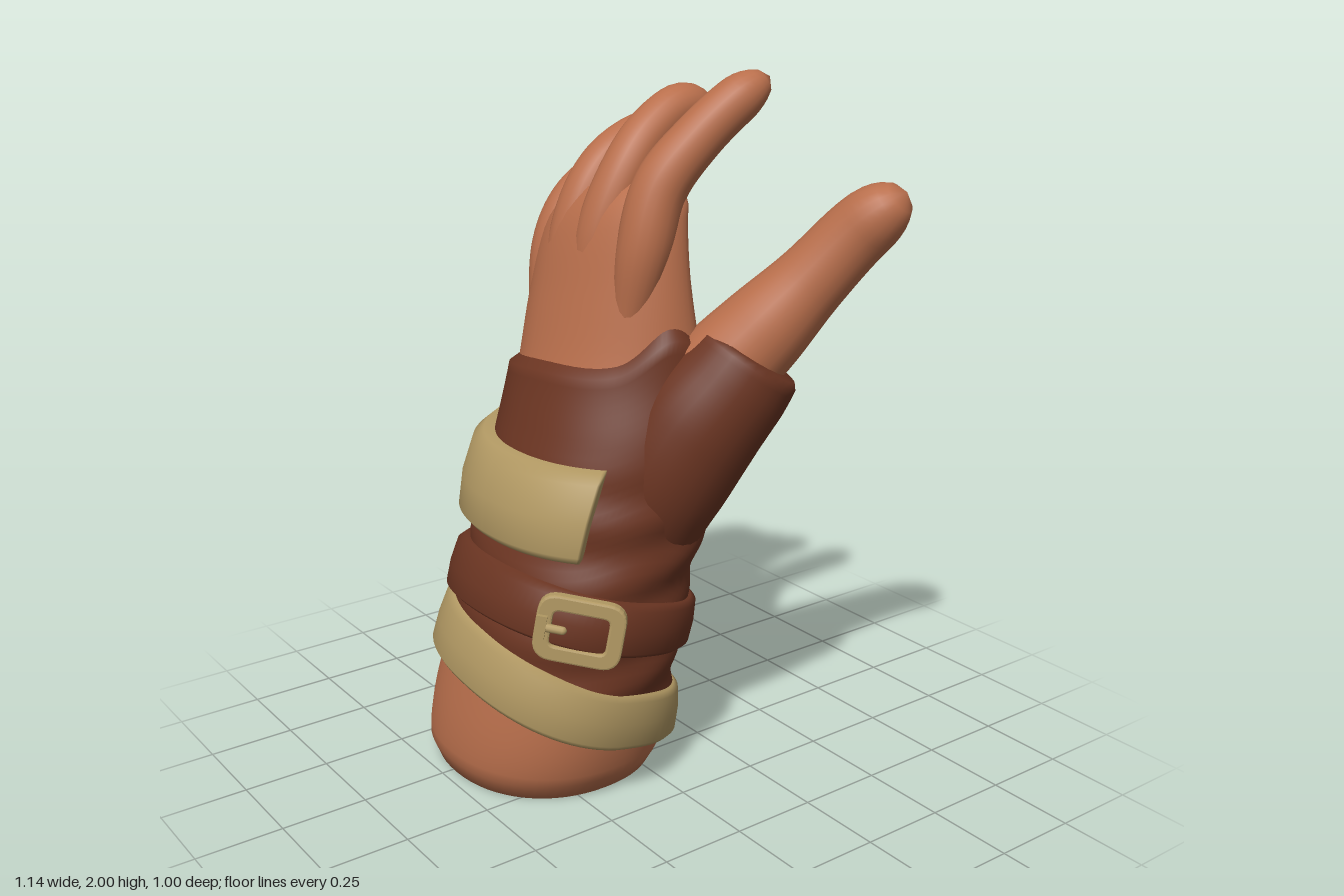
import * as THREE from 'three';
import { mergeVertices } from 'three/addons/utils/BufferGeometryUtils.js';

const PI = Math.PI, { smoothstep, clamp } = THREE.MathUtils;
const mat = (name, color) => {
  const m = new THREE.MeshStandardMaterial({ color });
  m.name = name;
  return m;
};

// Smooth interpolation of rows [key, value, value, ...]
function sample(rows, k) {
  const n = rows.length - 1;
  k = clamp(k, rows[0][0], rows[n][0]);
  let i = 0;
  while (i < n - 1 && k > rows[i + 1][0]) i++;
  const a = rows[i], b = rows[i + 1], p = rows[Math.max(i - 1, 0)], q = rows[Math.min(i + 2, n)];
  const h = b[0] - a[0], t = (k - a[0]) / h;
  return a.slice(1).map((va, j) => {
    const vb = b[j + 1];
    const ma = (vb - p[j + 1]) / (b[0] - p[0]) * h, mb = (q[j + 1] - va) / (q[0] - a[0]) * h;
    const t2 = t * t, t3 = t2 * t;
    return va * (2 * t3 - 3 * t2 + 1) + ma * (t3 - 2 * t2 + t) + vb * (3 * t2 - 2 * t3) + mb * (t3 - t2);
  });
}

// Forearm and hand sections: y, xMin, xMax, zMin, zMax
const SECTIONS = [
  [0, -0.55, 0.09, -0.14, 0.46], [0.04, -0.57, 0.125, -0.155, 0.485], [0.15, -0.56, 0.16, -0.145, 0.485],
  [0.3, -0.53, 0.18, -0.135, 0.46], [0.55, -0.46, 0.205, -0.15, 0.4], [0.75, -0.455, 0.215, -0.2, 0.34],
  [0.9, -0.46, 0.225, -0.265, 0.315], [1.05, -0.48, 0.23, -0.255, 0.265], [1.2, -0.485, 0.195, -0.185, 0.215],
  [1.4, -0.485, 0.165, -0.12, 0.165], [1.55, -0.48, 0.15, -0.095, 0.125], [1.71, -0.465, 0.135, -0.1, 0.06],
];
const TOP = 1.71;

// Point on the arm at an angle (0 front, PI/2 thumb side), pushed out by off
function surf(th, y, off = 0, scale = 1) {
  const [x0, x1, z0, z1] = sample(SECTIONS, y);
  const s = Math.sin(th), c = Math.cos(th), pw = v => Math.sign(v) * Math.abs(v) ** 0.92;
  const x = (x0 + x1) / 2 + ((x1 - x0) / 2 + off) * pw(s) * scale;
  const cup = (s < 0 ? 0.14 : 0.07) * s * s * scale * scale * smoothstep(y, 0.6, 1.25);
  const hollow = c < 0 ? 0.05 * c ** 4 * scale * smoothstep(y, 0.7, 1) : 0;
  const z = (z0 + z1) / 2 + ((z1 - z0) / 2 + off) * pw(c) * scale - cup + hollow;
  return [x, y + 0.25 * (x + 0.17) * smoothstep(y, 1.2, 1.6), z];
}

function smooth(geo) {
  geo.deleteAttribute('normal');
  geo.deleteAttribute('uv');
  const g = mergeVertices(geo, 1e-4);
  g.computeVertexNormals();
  return g;
}

// Grid surface from f(u, v, i, j) -> [x, y, z]
function grid(nu, nv, f) {
  const pos = [], idx = [];
  for (let j = 0; j <= nv; j++) for (let i = 0; i <= nu; i++) pos.push(...f(i / nu, j / nv, i, j));
  for (let j = 0; j < nv; j++) for (let i = 0; i < nu; i++) {
    const a = j * (nu + 1) + i, b = a + nu + 1;
    idx.push(a, a + 1, b + 1, a, b + 1, b);
  }
  const g = new THREE.BufferGeometry();
  g.setAttribute('position', new THREE.Float32BufferAttribute(pos, 3));
  g.setIndex(idx);
  return smooth(g);
}

// Raised strap along the arm between two angles, rounded at its edges
const EDGE = [[0, -0.03], [0, 0.7], [0.1, 1], [0.5, 1.08], [0.9, 1], [1, 0.7], [1, -0.03]];
function strap(t0, t1, centre, half, off, open) {
  const n = 96;
  return grid(n, EDGE.length - 1, (u, v, i, j) => {
    const th = t0 + (t1 - t0) * u, [e, o] = EDGE[j];
    const end = open && (i === 0 || i === n);
    return surf(th, centre(th) + (e * 2 - 1) * half(th), end ? -0.01 : o < 0 ? o : o * off(th));
  });
}

// Limb along [x, y, z, radius] points, with a round end of the given share
function limb(pts, round = 0.14, sides = 20, n = 40) {
  const curve = new THREE.CatmullRomCurve3(pts.map(p => new THREE.Vector3(p[0], p[1], p[2])));
  const geo = new THREE.TubeGeometry(curve, n, 1, sides);
  const pos = geo.attributes.position, v = new THREE.Vector3();
  const radii = pts.map((p, i) => [i, p[3]]);
  for (let i = 0; i <= n; i++) {
    const u = i / n, c = curve.getPointAt(u);
    const cap = Math.max(0, (u - 1 + round) / round);
    const r = sample(radii, curve.getUtoTmapping(u) * (pts.length - 1))[0] * Math.sqrt(Math.max(0, 1 - cap * cap));
    for (let k = 0; k <= sides; k++) {
      const id = i * (sides + 1) + k;
      v.fromBufferAttribute(pos, id).sub(c).multiplyScalar(r).add(c);
      pos.setXYZ(id, v.x, v.y, v.z);
    }
  }
  return smooth(geo);
}

function roundRect(target, w, h, r) {
  const x = w / 2, y = h / 2;
  target.moveTo(-x + r, -y);
  target.lineTo(x - r, -y); target.quadraticCurveTo(x, -y, x, -y + r);
  target.lineTo(x, y - r); target.quadraticCurveTo(x, y, x - r, y);
  target.lineTo(-x + r, y); target.quadraticCurveTo(-x, y, -x, y - r);
  target.lineTo(-x, -y + r); target.quadraticCurveTo(-x, -y, -x + r, -y);
  return target;
}

// Glove rim height around the arm, and the height of the spiral wrap
const RIM = [
  [-PI, 0.8], [-0.82 * PI, 0.88], [-0.66 * PI, 1.07], [-0.5 * PI, 1.12], [-0.25 * PI, 1.19], [0, 1.235],
  [0.25 * PI, 1.25], [0.42 * PI, 1.33], [0.56 * PI, 1.28], [0.75 * PI, 1.02], [PI, 0.8],
];
const WRAP = [
  [-1.05 * PI, 0.33], [-PI, 0.35], [-0.75 * PI, 0.4], [-0.5 * PI, 0.43], [0, 0.425], [0.5 * PI, 0.26],
  [0.75 * PI, 0.185], [PI, 0.15], [1.4 * PI, 0.18],
];
const wrapHeight = th => sample(WRAP, th)[0];

const FINGERS = {
  indexFinger: [[0.06, 1.36, 0.05, 0.05], [0.085, 1.55, 0.02, 0.074], [0.095, 1.71, -0.025, 0.074],
    [0.13, 1.83, -0.115, 0.068], [0.17, 1.93, -0.22, 0.063], [0.2, 1.985, -0.3, 0.056]],
  middleFinger: [[-0.08, 1.36, 0.09, 0.05], [-0.065, 1.58, 0.05, 0.068], [-0.05, 1.74, -0.02, 0.068],
    [-0.05, 1.835, -0.1, 0.065], [-0.05, 1.895, -0.21, 0.061], [-0.05, 1.85, -0.315, 0.056]],
  thirdFinger: [[-0.19, 1.33, 0.1, 0.05], [-0.195, 1.54, 0.055, 0.068], [-0.19, 1.69, -0.01, 0.068],
    [-0.185, 1.775, -0.1, 0.065], [-0.18, 1.81, -0.22, 0.061], [-0.18, 1.735, -0.34, 0.056]],
  fourthFinger: [[-0.3, 1.28, 0.08, 0.05], [-0.315, 1.5, 0.035, 0.066], [-0.315, 1.62, -0.03, 0.066],
    [-0.31, 1.69, -0.13, 0.063], [-0.3, 1.705, -0.25, 0.06], [-0.3, 1.625, -0.375, 0.056]],
  littleFinger: [[-0.41, 1.22, 0.0, 0.05], [-0.425, 1.44, -0.035, 0.062], [-0.43, 1.55, -0.085, 0.063],
    [-0.435, 1.61, -0.18, 0.061], [-0.43, 1.605, -0.3, 0.058], [-0.43, 1.53, -0.43, 0.054]],
};

export function createModel() {
  const group = new THREE.Group();
  const skin = mat('skin', 0xb96f4c), leather = mat('brown leather', 0x6b3522), tan = mat('tan trim', 0xb39a64);
  leather.side = tan.side = THREE.DoubleSide;
  const add = (name, geo, m, parent = group) => {
    const mesh = new THREE.Mesh(geo, m);
    mesh.name = name;
    parent.add(mesh);
    return mesh;
  };

  // Forearm and palm in one closed skin
  const rows = 56;
  add('forearmAndPalm', grid(64, rows, (u, v, i, j) => {
    const fromTop = Math.min(1, (rows - j) / 4);
    const scale = j === 0 ? 0 : Math.sqrt(1 - (1 - fromTop) ** 2);
    return surf(-PI + 2 * PI * u, j <= 1 ? 0.005 : TOP * v, 0, scale);
  }), skin);

  // Fingers and thumb
  for (const [name, pts] of Object.entries(FINGERS)) add(name, limb(pts), skin);
  add('thumb', limb([[0.1, 1.02, -0.04, 0.13], [0.2, 1.2, -0.13, 0.135], [0.275, 1.33, -0.225, 0.124],
    [0.355, 1.47, -0.325, 0.1], [0.445, 1.61, -0.41, 0.09], [0.555, 1.715, -0.46, 0.08]]), skin);

  // Glove body with a rim that dips over the palm, and soft creases
  add('gloveBody', grid(120, 44, (u, v, i, j) => {
    const th = -PI + 2 * PI * u;
    const low = wrapHeight(th < -0.73 * PI ? th + 2 * PI : th);
    const y = Math.max(low, 0.14 + (sample(RIM, th)[0] - 0.14) * v);
    const crease = 0.007 * Math.sin(y * 38 + 1.2 * Math.sin(th * 2)) * smoothstep(1.05 - y, 0, 0.2);
    return surf(th, y, y === low || j === 44 ? -0.005 : 0.025 + crease);
  }), leather);

  // Thumb sleeve, turned in at its rim
  add('thumbSleeve', limb([[0.06, 0.7, 0.01, 0.13], [0.115, 0.9, -0.02, 0.175], [0.175, 1.07, -0.085, 0.182],
    [0.235, 1.2, -0.165, 0.165], [0.265, 1.285, -0.215, 0.15]], 0.04, 28), leather);

  // Straps
  add('spiralWrap', strap(-1.05 * PI, 1.4 * PI, wrapHeight,
    th => 0.012 + 0.073 * smoothstep(th, -1.05 * PI, -0.65 * PI),
    th => 0.045 - 0.033 * smoothstep(th, 1.1 * PI, 1.35 * PI), true), tan);
  add('buckleStrap', strap(-PI, PI, th => 0.54 + 0.085 * Math.cos(th), () => 0.075, () => 0.055, false), leather);
  add('backPlate', strap(-1.06, 0.83, th => 0.88 - 0.008 * th, () => 0.12, () => 0.08, true), tan);

  // Buckle frame, crossbar and prong
  const buckle = new THREE.Group();
  buckle.name = 'buckle';
  buckle.position.set(0.185, 0.57, 0.305);
  buckle.rotation.set(0, 0.86, -0.17, 'YXZ');
  const frame = roundRect(new THREE.Shape(), 0.23, 0.18, 0.05);
  frame.holes.push(roundRect(new THREE.Path(), 0.165, 0.115, 0.025));
  const frameGeo = new THREE.ExtrudeGeometry(frame, {
    depth: 0.02, bevelEnabled: true, bevelSize: 0.006, bevelThickness: 0.006, bevelSegments: 2, curveSegments: 6,
  });
  add('buckleFrame', frameGeo.translate(0, 0, -0.008), tan, buckle);
  const prong = add('bucklePin', new THREE.CapsuleGeometry(0.012, 0.06, 4, 10), tan, buckle);
  prong.rotation.z = PI / 2;
  prong.position.set(-0.075, 0, 0.018);
  add('buckleLoop', new THREE.BoxGeometry(0.03, 0.07, 0.05), tan, buckle).position.set(-0.105, 0, 0.005);
  group.add(buckle);

  return group;
}
